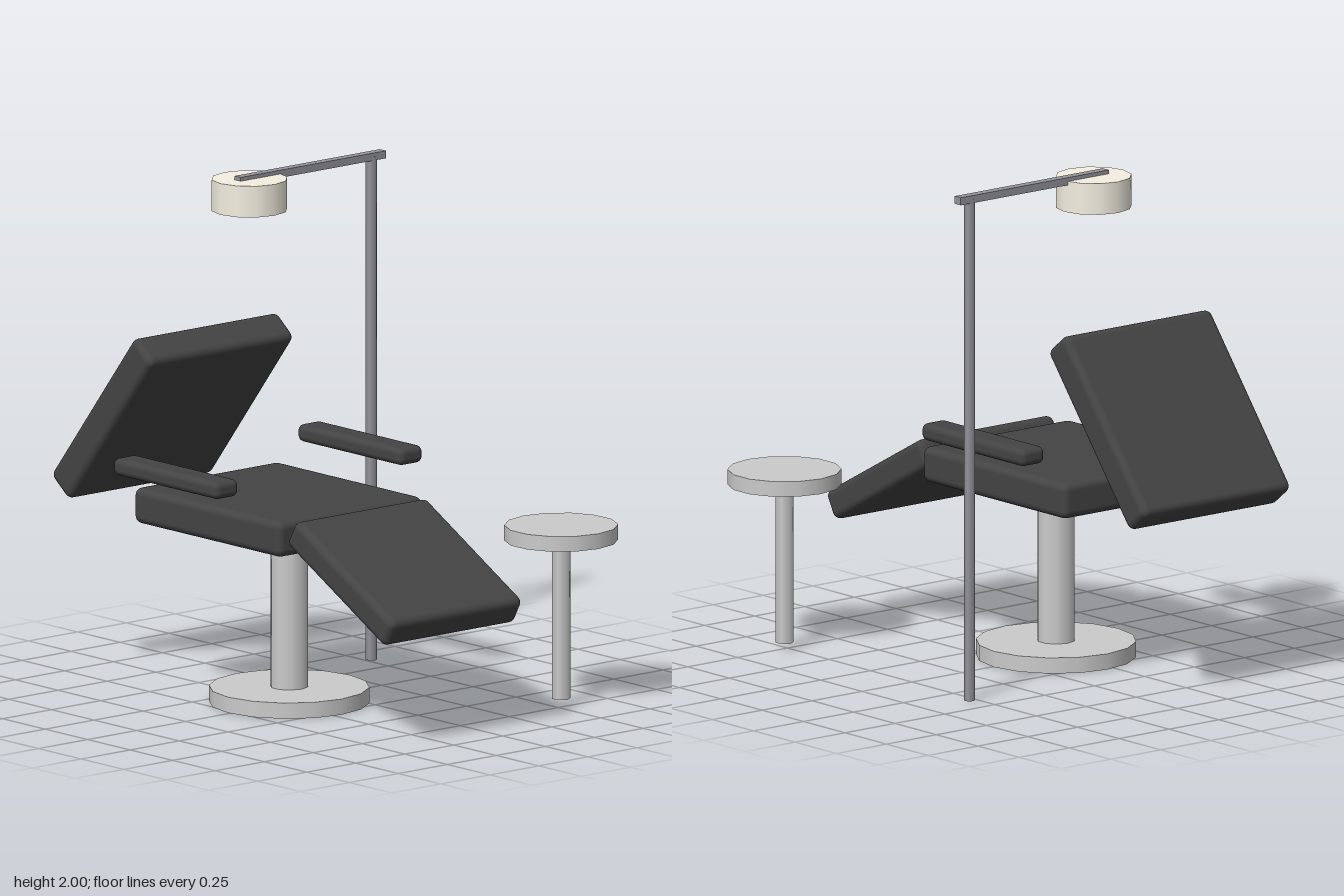
import * as THREE from 'three';
import { RoundedBoxGeometry } from 'three/addons/geometries/RoundedBoxGeometry.js';

const material = (color) => new THREE.MeshStandardMaterial({ color });

export function createModel() {
  const group = new THREE.Group();
  const grey = material(0xcccccc);
  const padding = material(0x444444);
  const metal = material(0x94949a);
  const shade = material(0xf5f0e2);

  const add = (name, geometry, mat, x, y, z, tilt = 0) => {
    const mesh = new THREE.Mesh(geometry, mat);
    mesh.name = name;
    mesh.position.set(x, y, z);
    mesh.rotation.x = tilt;
    group.add(mesh);
  };
  const cushion = (name, size, radius, position, tilt) =>
    add(name, new RoundedBoxGeometry(...size, 3, radius), padding, ...position, tilt);
  // Upright cylinder given by its bottom and top heights
  const post = (name, radius, sides, bottom, top, x, z, mat = grey) =>
    add(name, new THREE.CylinderGeometry(radius, radius, top - bottom, sides), mat, x, (bottom + top) / 2, z);

  // Reclining chair
  const cx = -0.215;
  cushion('seat', [0.74, 0.14, 0.863], 0.03, [cx, 0.747, -0.071]);
  cushion('backrest', [0.74, 0.8, 0.14], 0.03, [cx, 1.055, -0.693], 0.67);
  cushion('legRest', [0.675, 0.12, 0.66], 0.03, [cx, 0.623, 0.672], 0.5);
  for (const [name, side] of [['leftArmrest', 1], ['rightArmrest', -1]]) {
    cushion(name, [0.12, 0.068, 0.615], 0.025, [cx + side * 0.47, 0.932, -0.133]);
  }
  post('chairColumn', 0.074, 10, 0.06, 0.69, cx, -0.008);
  post('chairBase', 0.31, 16, 0, 0.062, cx, -0.008);

  // Standing lamp
  post('lampPole', 0.022, 6, 0, 1.985, 0.527, -0.38, metal);
  add('lampArm', new THREE.BoxGeometry(0.742, 0.03, 0.037), metal, 0.217, 1.985, -0.382);
  post('lampHead', 0.148, 12, 1.862, 1.985, -0.093, -0.382, shade);

  // Stool
  post('stoolSeat', 0.22, 14, 0.655, 0.715, 0.527, 0.736);
  post('stoolLeg', 0.036, 6, 0.03, 0.657, 0.527, 0.736);

  return group;
}
